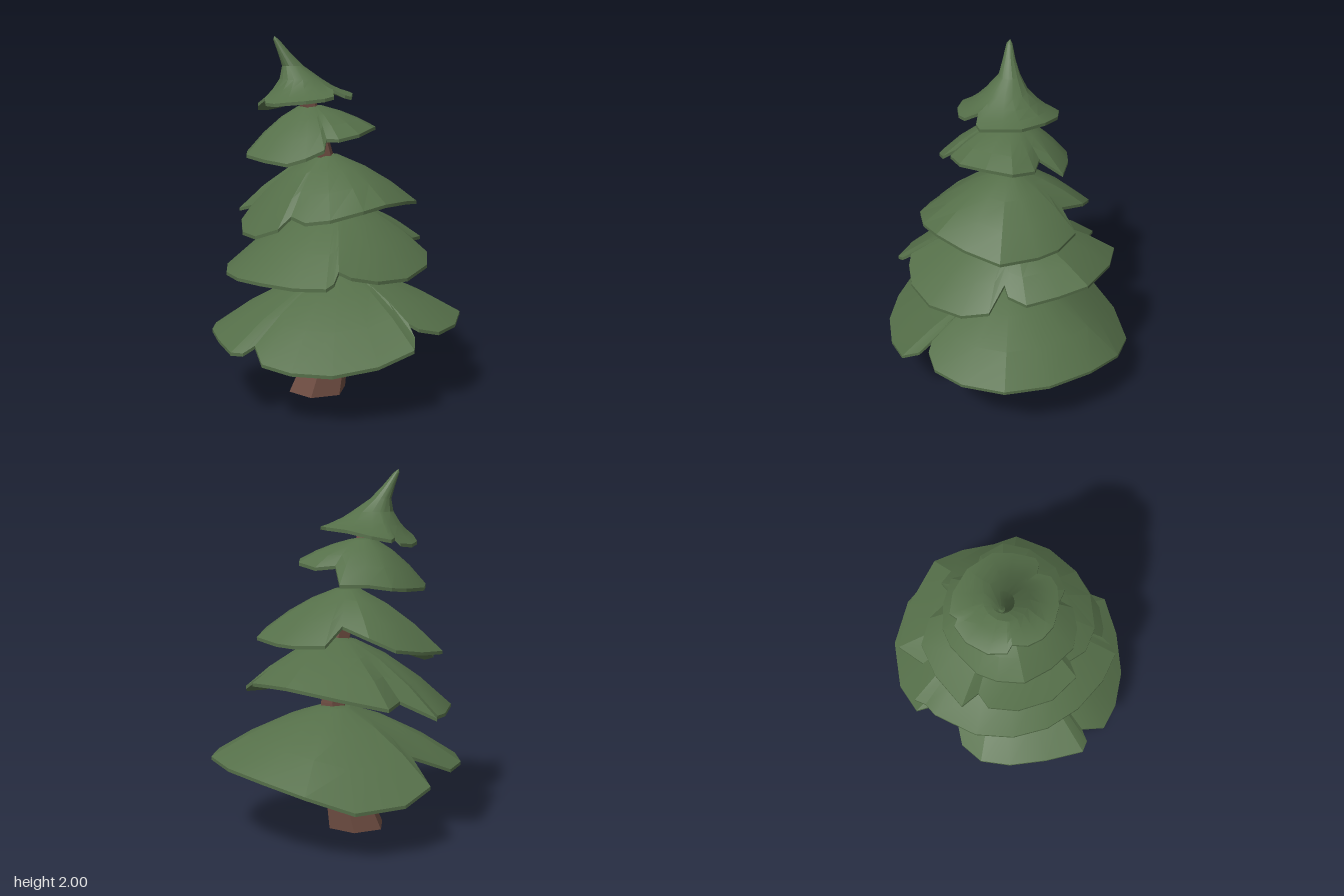
import * as THREE from 'three';
import { toCreasedNormals } from 'three/addons/utils/BufferGeometryUtils.js';

// Skin a list of rings (equal point counts, running clockwise seen from above, top to bottom).
function loft(rings) {
  const n = rings[0].length;
  const index = [];
  for (let r = 0; r < rings.length - 1; r++) {
    for (let i = 0; i < n; i++) {
      const j = (i + 1) % n;
      const a = r * n + i, b = r * n + j, c = a + n, d = b + n;
      if (r > 0) index.push(a, b, d);                  // first ring is a single tip
      if (r < rings.length - 2) index.push(a, d, c);   // last ring is a single tip
      else if (r === 0) index.push(a, d, c);
    }
  }
  const geometry = new THREE.BufferGeometry();
  geometry.setAttribute('position', new THREE.Float32BufferAttribute(rings.flat(2), 3));
  geometry.setIndex(index);
  return geometry;
}

// Circle of points at the given angles
const circle = ([x, y, z, r], angles) =>
  angles.map(a => [x + r * Math.cos(a), y, z + r * Math.sin(a)]);

const lower = (ring, d) => ring.map(([x, y, z]) => [x, y - d, z]);

// A foliage skirt: crown rings [x, y, z, radius] spread out to a notched, drooping rim.
function skirtGeometry(crown, rim, thickness) {
  const base = crown[crown.length - 1];
  const [cx, cy, cz] = base;
  const angles = rim.map(p => Math.atan2(p[2] - cz, p[0] - cx));
  const top = crown.map(c => circle(c, angles));
  const inner = top[top.length - 1];
  const bulge = crown.length > 2 ? -0.12 : 0.11;       // domed skirts, hollow-curved treetop
  const between = [0.33, 0.67].map(t => inner.map((p, i) => {
    const q = rim[i];
    const lift = (cy - q[1]) * bulge * Math.sin(Math.PI * t);
    return [p[0] + (q[0] - p[0]) * t, p[1] + (q[1] - p[1]) * t + lift, p[2] + (q[2] - p[2]) * t];
  }));
  const under = [lower(rim, thickness), ...between.slice().reverse().map(r => lower(r, thickness * 1.2))];
  const apex = circle([cx, cy - thickness * 2, cz, 0], angles);
  return toCreasedNormals(loft([...top, ...between, rim, ...under, apex]), 0.3);
}

// Tiers from the ground up; each rim runs front, right-hand side, back, left-hand side.
const lowestTier = {
  crown: [[0.07, 0.71, 0, 0], [0.07, 0.70, 0, 0.09]],
  rim: [
    [0.01, 0.49, 0.54], [-0.02, 0.43, 0.61], [-0.1, 0.39, 0.67], [-0.3, 0.33, 0.59], [-0.5, 0.30, 0.45],
    [-0.63, 0.31, 0.28], [-0.69, 0.34, 0.13], [-0.62, 0.40, 0.01], [-0.69, 0.37, -0.01],
    [-0.72, 0.37, -0.07], [-0.62, 0.38, -0.27], [-0.5, 0.38, -0.45], [-0.37, 0.37, -0.56],
    [-0.22, 0.36, -0.58], [0, 0.46, -0.46], [0.12, 0.35, -0.65], [0.32, 0.29, -0.62],
    [0.56, 0.28, -0.47], [0.69, 0.36, -0.25], [0.72, 0.41, 0], [0.67, 0.43, 0.27],
    [0.55, 0.44, 0.49], [0.34, 0.43, 0.61], [0.15, 0.43, 0.64], [0.04, 0.46, 0.59]],
};
const secondTier = {
  crown: [[0.06, 1.09, -0.01, 0], [0.06, 1.07, -0.01, 0.11]],
  rim: [
    [0, 0.74, 0.54], [-0.2, 0.75, 0.5], [-0.32, 0.78, 0.42], [-0.36, 0.81, 0.37], [-0.42, 0.76, 0.39],
    [-0.47, 0.74, 0.38], [-0.54, 0.73, 0.22], [-0.57, 0.73, 0], [-0.54, 0.72, -0.2],
    [-0.45, 0.71, -0.38], [-0.3, 0.71, -0.53], [-0.06, 0.71, -0.63], [0.02, 0.71, -0.63],
    [0.08, 0.71, -0.66], [0.19, 0.80, -0.5], [0.36, 0.79, -0.54], [0.5, 0.84, -0.35],
    [0.6, 0.89, -0.07], [0.55, 0.88, 0.1], [0.47, 0.86, 0.26], [0.36, 0.87, 0.29],
    [0.31, 0.91, 0.27], [0.34, 0.81, 0.41], [0.22, 0.77, 0.5]],
};
const middleTier = {
  crown: [[0, 1.36, -0.04, 0], [0, 1.35, -0.04, 0.07]],
  rim: [
    [-0.05, 1.13, 0.43], [-0.2, 1.11, 0.4], [-0.35, 1.07, 0.3], [-0.41, 1.05, 0.18], [-0.40, 1.07, 0.07],
    [-0.48, 1.01, 0.05], [-0.48, 0.95, -0.12], [-0.4, 0.94, -0.3], [-0.29, 0.98, -0.42],
    [-0.21, 1.05, -0.42], [-0.2, 1.02, -0.53], [0.02, 1.04, -0.53], [0.2, 1.07, -0.48],
    [0.27, 1.13, -0.36], [0.27, 1.18, -0.19], [0.40, 1.09, -0.17], [0.44, 1.08, 0],
    [0.42, 1.08, 0.13], [0.34, 1.09, 0.33], [0.15, 1.12, 0.41]],
};
const upperTier = {
  crown: [[-0.06, 1.63, -0.1, 0], [-0.06, 1.62, -0.1, 0.07]],
  rim: [
    [-0.06, 1.49, 0.25], [-0.18, 1.47, 0.21], [-0.21, 1.47, 0.15], [-0.27, 1.42, 0.19], [-0.36, 1.38, 0.14],
    [-0.42, 1.35, 0.06], [-0.43, 1.36, -0.1], [-0.4, 1.37, -0.26], [-0.3, 1.37, -0.36],
    [-0.2, 1.36, -0.41], [0, 1.37, -0.42], [0.1, 1.38, -0.39], [0.2, 1.40, -0.3],
    [0.28, 1.40, -0.18], [0.19, 1.49, -0.09], [0.25, 1.48, 0], [0.22, 1.50, 0.13], [0.1, 1.51, 0.21]],
};
const treetop = {
  crown: [[-0.2, 2, -0.24, 0], [-0.195, 1.98, -0.23, 0.016], [-0.165, 1.91, -0.2, 0.034],
    [-0.13, 1.84, -0.17, 0.058], [-0.11, 1.77, -0.13, 0.115]],
  rim: [
    [-0.01, 1.68, 0.15], [-0.05, 1.69, 0.14], [-0.09, 1.72, 0.09], [-0.14, 1.69, 0.14], [-0.2, 1.68, 0.13],
    [-0.28, 1.67, 0.07], [-0.34, 1.66, -0.02], [-0.35, 1.65, -0.1], [-0.33, 1.65, -0.18],
    [-0.28, 1.67, -0.24], [-0.29, 1.64, -0.28], [-0.22, 1.61, -0.35], [-0.1, 1.60, -0.39],
    [0, 1.61, -0.38], [0.01, 1.64, -0.35], [0.06, 1.63, -0.36], [0.13, 1.65, -0.28],
    [0.17, 1.68, -0.15], [0.15, 1.69, 0], [0.08, 1.69, 0.08]],
};

export function createModel() {
  const tree = new THREE.Group();
  tree.name = 'pineTree';

  // Crooked six-sided trunk, top to bottom, with closed ends
  const hexagon = Array.from({ length: 6 }, (_, k) => Math.PI / 2 + k * Math.PI / 3);
  const trunkRings = [
    [-0.11, 1.73, -0.11, 0], [-0.11, 1.73, -0.11, 0.045], [-0.04, 1.42, -0.055, 0.06],
    [0.025, 1.08, 0, 0.068], [0.052, 0.72, 0.02, 0.075], [0.045, 0.43, 0.005, 0.09],
    [-0.045, 0, -0.07, 0.167], [-0.045, 0, -0.07, 0]];
  const trunk = new THREE.Mesh(
    loft(trunkRings.map(r => circle(r, hexagon))),
    new THREE.MeshStandardMaterial({ color: 0x6d4c41, flatShading: true }));
  trunk.geometry.computeVertexNormals();
  trunk.name = 'trunk';
  tree.add(trunk);

  // Foliage tiers
  const green = new THREE.MeshStandardMaterial({ color: 0x556f49 });
  const tiers = { lowestTier, secondTier, middleTier, upperTier, treetop };
  for (const [name, { crown, rim }] of Object.entries(tiers)) {
    const mesh = new THREE.Mesh(skirtGeometry(crown, rim, 0.018), green);
    mesh.name = name;
    tree.add(mesh);
  }
  return tree;
}
